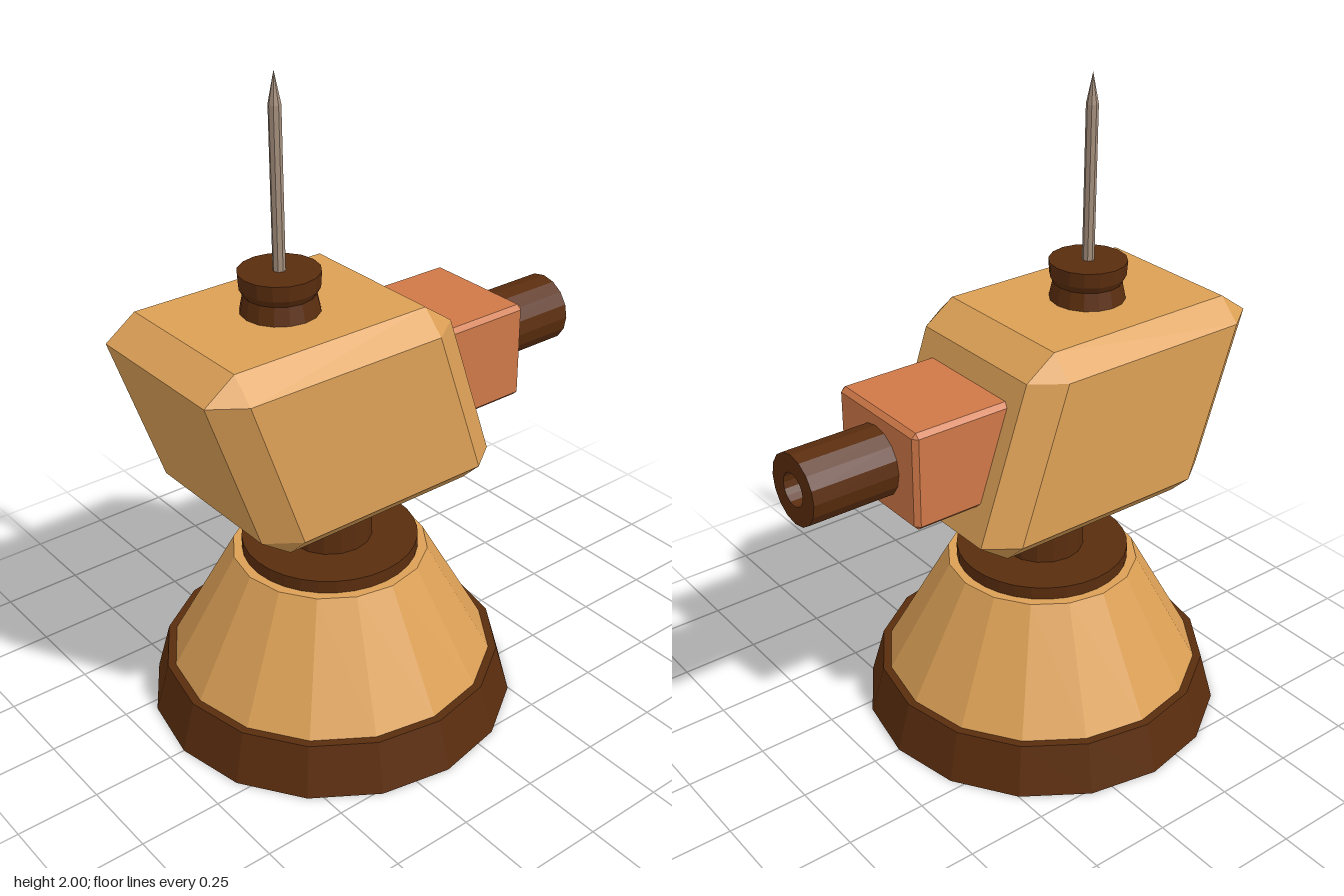
import * as THREE from 'three';
import { ConvexGeometry } from 'three/addons/geometries/ConvexGeometry.js';

const material = (name, color) => {
  const m = new THREE.MeshStandardMaterial({ color, flatShading: true });
  m.name = name;
  return m;
};

// Box with all edges chamfered; lean slides the lower half along x.
function chamferedBox(hx, hy, hz, cx, cy, cz, lean = 0) {
  const points = [];
  for (const sx of [-1, 1]) for (const sy of [-1, 1]) for (const sz of [-1, 1]) {
    const slide = sy < 0 ? lean : 0;
    const add = (x, y, z) => points.push(new THREE.Vector3(sx * x + slide, sy * y, sz * z));
    add(hx, hy - cy, hz - cz);
    add(hx - cx, hy, hz - cz);
    add(hx - cx, hy - cy, hz);
  }
  return new ConvexGeometry(points);
}

// Revolved profile given as [radius, y] pairs.
const turned = (profile, sides) =>
  new THREE.LatheGeometry(profile.map(([r, y]) => new THREE.Vector2(r, y)), sides);

export function createModel() {
  const model = new THREE.Group();
  model.name = 'needleDevice';
  const tan = material('tan', 0xdca056);
  const brown = material('darkBrown', 0x5a2d0e);
  const terracotta = material('terracotta', 0xcf7848);
  const steel = material('warmSteel', 0xa48e7c);

  const add = (name, geometry, mat, x, y = 0) => {
    const mesh = new THREE.Mesh(geometry, mat);
    mesh.name = name;
    mesh.position.set(x, y, 0);
    model.add(mesh);
    return mesh;
  };

  const standX = -0.145, needleX = -0.304;

  // Stand: plinth, cone, plate and neck
  add('plinth', turned([[0, 0], [0.557, 0], [0.515, 0.155], [0, 0.155]], 16), brown, standX);
  add('cone', turned([[0, 0.15], [0.49, 0.155], [0.295, 0.51], [0, 0.51]], 16), tan, standX);
  add('plate', turned([[0, 0.51], [0.265, 0.51], [0.265, 0.55], [0, 0.55]], 32), brown, standX);
  add('neck', turned([[0, 0.54], [0.128, 0.54], [0.128, 0.75], [0, 0.75]], 16), brown, standX);

  // Leaning head
  add('head', chamferedBox(0.4115, 0.3015, 0.305, 0.095, 0.068, 0.068, 0.159), tan, needleX, 1.0315);

  // Side block and hollow nozzle
  add('sideBlock', chamferedBox(0.2, 0.15, 0.187, 0.014, 0.014, 0.014), terracotta, 0.244, 1.045);
  const nozzle = add('nozzle', turned(
    [[0.05, 0], [0.107, 0], [0.107, 0.273], [0.05, 0.273], [0.05, 0]], 16), brown, 0.44, 1.042);
  nozzle.rotation.z = -Math.PI / 2;

  // Collar and needle on top of the head
  add('collar', turned([[0, 1.325], [0.113, 1.333], [0.102, 1.385], [0.113, 1.405],
    [0.116, 1.45], [0, 1.45]], 16), brown, needleX);
  add('needle', turned([[0, 1.43], [0.018, 1.43], [0.018, 1.91], [0, 2]], 8), steel, needleX);

  return model;
}
